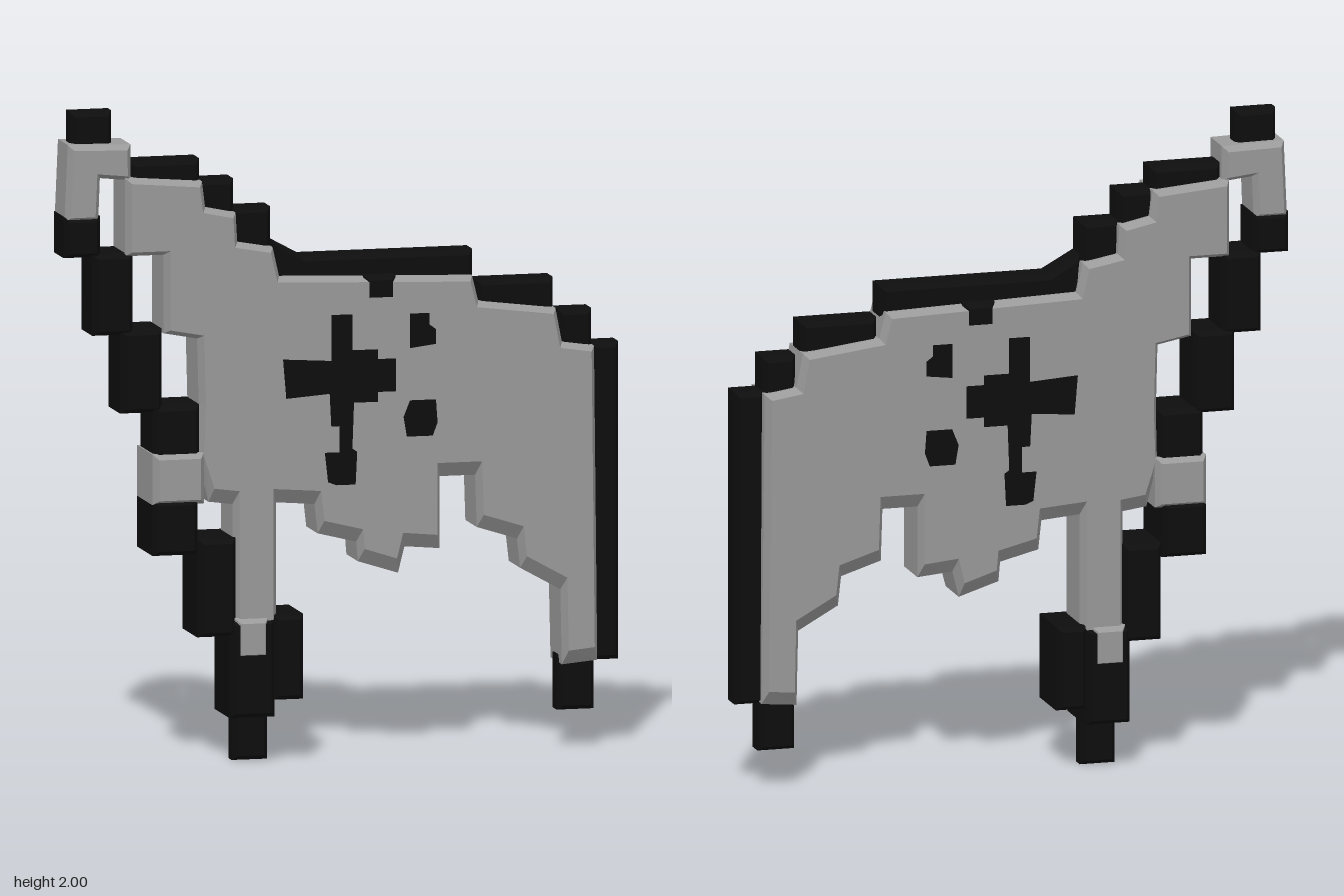
import * as THREE from 'three';

export function createModel() {
  const model = new THREE.Group();
  model.name = 'steppedAnimal';
  const grey = new THREE.MeshStandardMaterial({ color: 0x999999 });
  grey.name = 'grey';
  const black = new THREE.MeshStandardMaterial({ color: 0x0d0d0d });
  black.name = 'black';

  // A chamfered slab centred on z = 0; its outline keeps the given size
  function slab(name, points, halfDepth, material, size = 0.015, thick = 0.025) {
    const shape = new THREE.Shape(points.map(([x, y]) => new THREE.Vector2(x, y)));
    const geometry = new THREE.ExtrudeGeometry(shape, {
      depth: 2 * (halfDepth - thick), bevelEnabled: true, bevelSegments: 1,
      bevelSize: size, bevelThickness: thick, bevelOffset: -size,
    });
    geometry.translate(0, 0, thick - halfDepth);
    const mesh = new THREE.Mesh(geometry, material);
    mesh.name = name;
    model.add(mesh);
    return mesh;
  }
  const block = (name, x0, x1, y0, y1, halfDepth, material) =>
    slab(name, [[x0, y0], [x1, y0], [x1, y1], [x0, y1]], halfDepth, material);

  // Body, neck and legs in one stepped outline
  const body = slab('body', [
    [-0.68, 1.80], [-0.68, 1.56], [-0.56, 1.56], [-0.56, 1.32], [-0.455, 1.30],
    [-0.45, 1.10], [-0.455, 0.94], [-0.42, 0.80], [-0.345, 0.79], [-0.345, 0.30],
    [-0.21, 0.30], [-0.21, 0.79], [-0.09, 0.78], [-0.08, 0.69], [0.04, 0.66],
    [0.045, 0.60], [0.17, 0.56], [0.19, 0.64], [0.30, 0.63], [0.30, 0.85],
    [0.41, 0.85], [0.415, 0.69], [0.54, 0.65], [0.55, 0.56], [0.675, 0.49],
    [0.68, 0.26], [0.79, 0.27], [0.78, 1.23], [0.68, 1.245], [0.66, 1.35],
    [0.42, 1.38], [0.40, 1.46], [-0.20, 1.48], [-0.22, 1.57], [-0.33, 1.59],
    [-0.335, 1.68], [-0.43, 1.70], [-0.44, 1.78],
  ], 0.1, grey, 0.015, 0.03);
  // Wider chamfer along the belly
  const pos = body.geometry.attributes.position;
  for (let i = 0; i < pos.count; i++) {
    if (Math.abs(pos.getZ(i)) > 0.09 && pos.getY(i) < 0.9) pos.setY(i, pos.getY(i) + 0.03);
  }
  body.geometry.computeVertexNormals();

  // Head bends down in front of the neck
  slab('head', [[-0.865, 1.67], [-0.76, 1.67], [-0.755, 1.80], [-0.66, 1.79],
    [-0.66, 1.90], [-0.855, 1.905]], 0.085, grey);
  block('ear', -0.84, -0.71, 1.89, 2.0, 0.045, black);

  // Stepped blocks down the throat, chest and front leg
  [
    ['muzzle', -0.868, -0.755, 1.56, 1.685, 0.085, black],
    ['upperThroat', -0.78, -0.655, 1.32, 1.57, 0.09, black],
    ['lowerThroat', -0.695, -0.565, 1.08, 1.335, 0.095, black],
    ['upperChest', -0.595, -0.45, 0.94, 1.10, 0.1, black],
    ['chestBand', -0.6, -0.44, 0.80, 0.955, 0.12, grey],
    ['lowerChest', -0.6, -0.46, 0.645, 0.815, 0.12, black],
    ['raisedLeg', -0.46, -0.34, 0.39, 0.69, 0.113, black],
    ['frontShin', -0.36, -0.22, 0.14, 0.44, 0.117, black],
    ['frontHeel', -0.225, -0.13, 0.19, 0.45, 0.113, black],
    ['shinPatch', -0.345, -0.24, 0.32, 0.445, 0.121, grey],
    ['frontHoof', -0.335, -0.225, 0, 0.17, 0.045, black],
    ['hindHoof', 0.675, 0.79, 0.115, 0.285, 0.05, black],
    ['tail', 0.775, 0.865, 0.265, 1.235, 0.057, black],
  ].forEach((b) => block(...b));

  // Mane and back ridge
  [
    [-0.66, -0.44, 1.76, 1.845], [-0.45, -0.335, 1.66, 1.78], [-0.34, -0.22, 1.56, 1.69],
    [0.42, 0.66, 1.34, 1.44], [0.675, 0.78, 1.22, 1.34],
  ].forEach(([x0, x1, y0, y1], i) => block('ridge' + (i + 1), x0, x1, y0, y1, 0.06, black));
  slab('backRidge', [[-0.22, 1.46], [0.41, 1.44], [0.41, 1.535], [-0.12, 1.535],
    [-0.22, 1.59]], 0.06, black);
  block('saddleStrap', 0.06, 0.16, 1.395, 1.475, 0.103, black);

  // Thin painted markings on both flanks
  const marks = {
    crossMark: [[-0.045, 0.94], [-0.065, 0.94], [-0.055, 0.85], [-0.03, 0.84], [0.03, 0.84],
      [0.035, 0.94], [0.02, 0.95], [0.025, 1.09], [0.1, 1.09], [0.1, 1.12], [0.155, 1.12],
      [0.155, 1.22], [0.1, 1.22], [0.1, 1.25], [0.02, 1.25], [0.02, 1.36], [-0.045, 1.36],
      [-0.045, 1.22], [-0.195, 1.23], [-0.185, 1.11], [-0.05, 1.12], [-0.045, 1.02],
      [-0.02, 1.02], [-0.02, 0.94]],
    upperSpot: [[0.2, 1.25], [0.28, 1.26], [0.28, 1.305], [0.26, 1.32], [0.26, 1.355], [0.2, 1.355]],
    lowerSpot: [[0.19, 0.98], [0.27, 0.98], [0.285, 1.02], [0.28, 1.09], [0.2, 1.09], [0.18, 1.04]],
  };
  for (const [name, points] of Object.entries(marks)) {
    const shape = new THREE.Shape(points.map(([x, y]) => new THREE.Vector2(x, y)));
    for (const z of [0.099, -0.103]) {
      const mark = new THREE.Mesh(
        new THREE.ExtrudeGeometry(shape, { depth: 0.004, bevelEnabled: false }), black);
      mark.name = name;
      mark.position.z = z;
      model.add(mark);
    }
  }
  return model;
}
